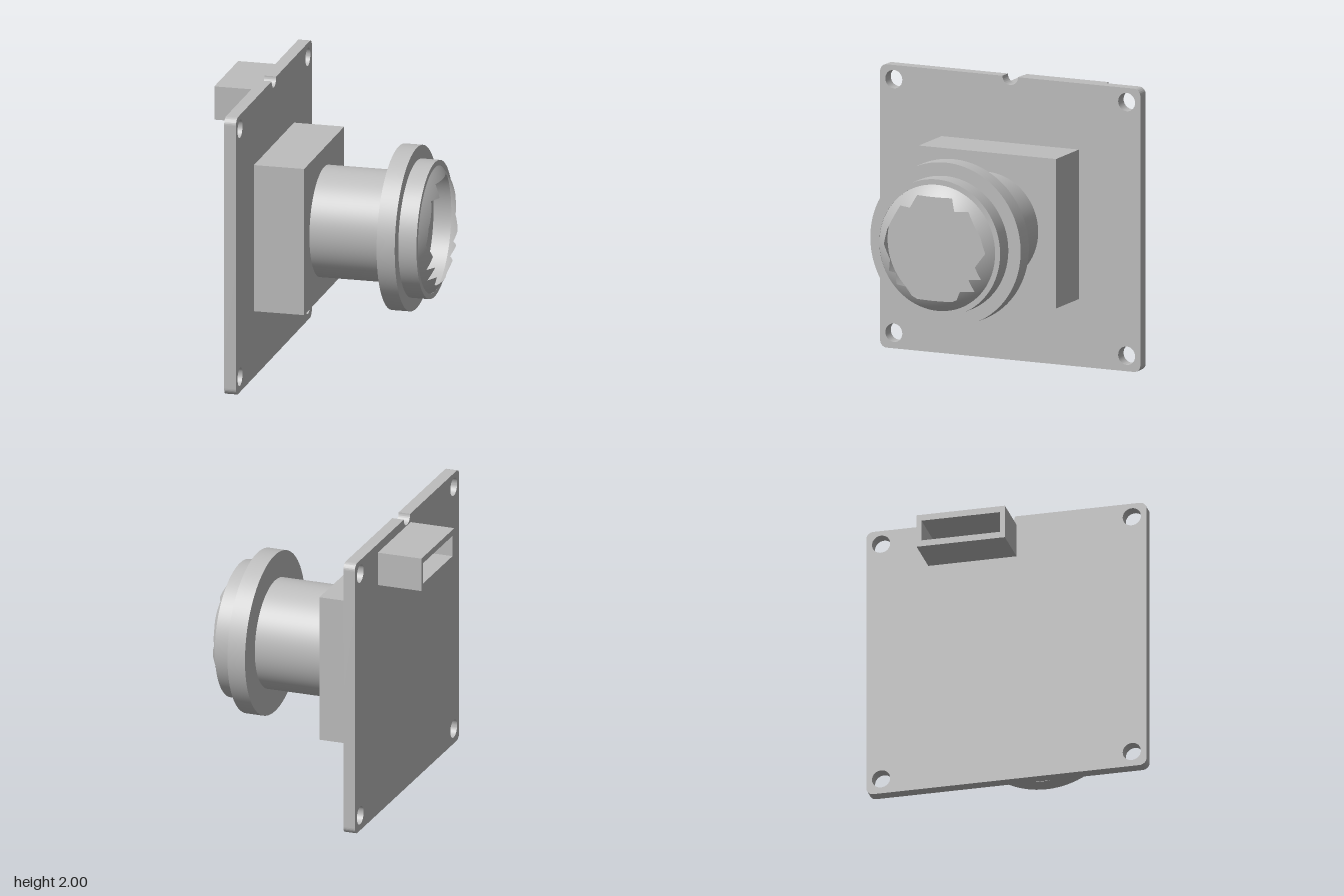
import * as THREE from 'three';
import { toCreasedNormals } from 'three/addons/utils/BufferGeometryUtils.js';

const CY = 1.004; // height of the lens axis
const grey = new THREE.MeshStandardMaterial({ color: 0xbebebe });
grey.name = 'grey';
const greyThin = grey; // one shared colour
greyThin.side = THREE.DoubleSide;

function part(name, geometry, x = 0, y = 0, z = 0) {
  const mesh = new THREE.Mesh(geometry, grey);
  mesh.name = name;
  mesh.position.set(x, y, z);
  return mesh;
}

function circleHole(x, y, r) {
  return new THREE.Path().absarc(x, y, r, 0, Math.PI * 2, true);
}

// Extrude a drawn z-y shape along +x
function extrudeX(shape, depth) {
  const g = new THREE.ExtrudeGeometry(shape, { depth, bevelEnabled: false, curveSegments: 24 });
  g.rotateY(Math.PI / 2);
  return toCreasedNormals(g, 0.6);
}

// Solid disc or rod lying along x
function rod(name, r, x0, x1) {
  const g = new THREE.CylinderGeometry(r, r, x1 - x0, 96).rotateZ(-Math.PI / 2);
  return part(name, g, (x0 + x1) / 2, CY, 0);
}

// Board with rounded corners, four screw holes and a notch in the top edge
function boardGeometry() {
  const r = 0.05, n = 0.06;
  const s = new THREE.Shape();
  s.moveTo(-1 + r, 0);
  s.lineTo(1 - r, 0);
  s.absarc(1 - r, r, r, -Math.PI / 2, 0, false);
  s.lineTo(1, 2 - r);
  s.absarc(1 - r, 2 - r, r, 0, Math.PI / 2, false);
  s.lineTo(n, 2);
  s.absarc(0, 2, n, 0, -Math.PI, true);
  s.lineTo(-1 + r, 2);
  s.absarc(-1 + r, 2 - r, r, Math.PI / 2, Math.PI, false);
  s.lineTo(-1, r);
  s.absarc(-1 + r, r, r, Math.PI, Math.PI * 1.5, false);
  for (const z of [-0.895, 0.895])
    for (const y of [0.11, 1.9]) s.holes.push(circleHole(z, y, 0.065));
  return extrudeX(s, 0.085);
}

// Open rectangular socket
function socketGeometry(w, h, tz, ty, depth) {
  const rect = (path, a, b) => path.moveTo(-a, -b).lineTo(a, -b).lineTo(a, b).lineTo(-a, b).closePath();
  const s = new THREE.Shape();
  rect(s, w / 2, h / 2);
  const hole = new THREE.Path();
  rect(hole, w / 2 - tz, h / 2 - ty);
  s.holes.push(hole);
  return extrudeX(s, depth);
}

// Spherical lens shell with a jagged opening
function lensGeometry() {
  const R = 0.66, cx = 0.25, rim = 0.445, rows = 6, steps = 6;
  const half = [ // z, y of the opening's edge, top to bottom
    [0, 0.369], [0.134, 0.369], [0.171, 0.284], [0.262, 0.284], [0.358, 0.113], [0.39, 0],
    [0.326, -0.096], [0.353, -0.187], [0.278, -0.187], [0.30, -0.278], [0.209, -0.278],
    [0.172, -0.345], [0.134, -0.363], [0, -0.363],
  ];
  const loop = [...half, ...half.slice(1, -1).reverse().map(([z, y]) => [-z, y])];
  const edge = [];
  loop.forEach(([z, y], i) => {
    const [z2, y2] = loop[(i + 1) % loop.length];
    for (let k = 0; k < steps; k++) edge.push([z + (z2 - z) * k / steps, y + (y2 - y) * k / steps]);
  });
  const pos = [], nor = [], idx = [], n = edge.length;
  for (let j = 0; j <= rows; j++) {
    for (const [z, y] of edge) {
      const r0 = Math.hypot(z, y), r = rim + (r0 - rim) * j / rows;
      const pz = z / r0 * r, py = y / r0 * r, px = Math.sqrt(R * R - r * r);
      pos.push(cx + px, py, pz);
      nor.push(px / R, py / R, pz / R);
    }
  }
  for (let j = 0; j < rows; j++)
    for (let i = 0; i < n; i++) {
      const a = j * n + i, b = j * n + (i + 1) % n;
      idx.push(a, a + n, b, b, a + n, b + n);
    }
  // Wind every face outward
  for (let t = 0; t < idx.length; t += 3) {
    const [a, b, c] = [0, 1, 2].map((k) => new THREE.Vector3().fromArray(pos, idx[t + k] * 3));
    if (b.sub(a).cross(c.sub(a)).x < 0) [idx[t + 1], idx[t + 2]] = [idx[t + 2], idx[t + 1]];
  }
  const g = new THREE.BufferGeometry();
  g.setAttribute('position', new THREE.Float32BufferAttribute(pos, 3));
  g.setAttribute('normal', new THREE.Float32BufferAttribute(nor, 3));
  g.setIndex(idx);
  return g;
}

export function createModel() {
  const model = new THREE.Group();
  model.name = 'cameraModule';

  model.add(part('board', boardGeometry(), -0.497));
  model.add(part('socket', socketGeometry(0.63, 0.24, 0.035, 0.045, 0.323), -0.82, 1.815, -0.243));
  model.add(part('lensMount', new THREE.BoxGeometry(0.36, 1.055, 1.055), -0.232, CY, 0));
  model.add(rod('barrel', 0.39, -0.052, 0.48));
  model.add(rod('flange', 0.578, 0.48, 0.61));

  // Retaining ring around the lens
  const ring = new THREE.Shape().absarc(0, 0, 0.483, 0, Math.PI * 2, false);
  ring.holes.push(circleHole(0, 0, 0.445));
  const ringGeometry = new THREE.ExtrudeGeometry(ring, { depth: 0.13, bevelEnabled: false, curveSegments: 96 });
  model.add(part('ring', toCreasedNormals(ringGeometry.rotateY(Math.PI / 2), 0.6), 0.61, CY, 0));

  model.add(part('lens', lensGeometry(), 0, CY, 0));
  return model;
}
